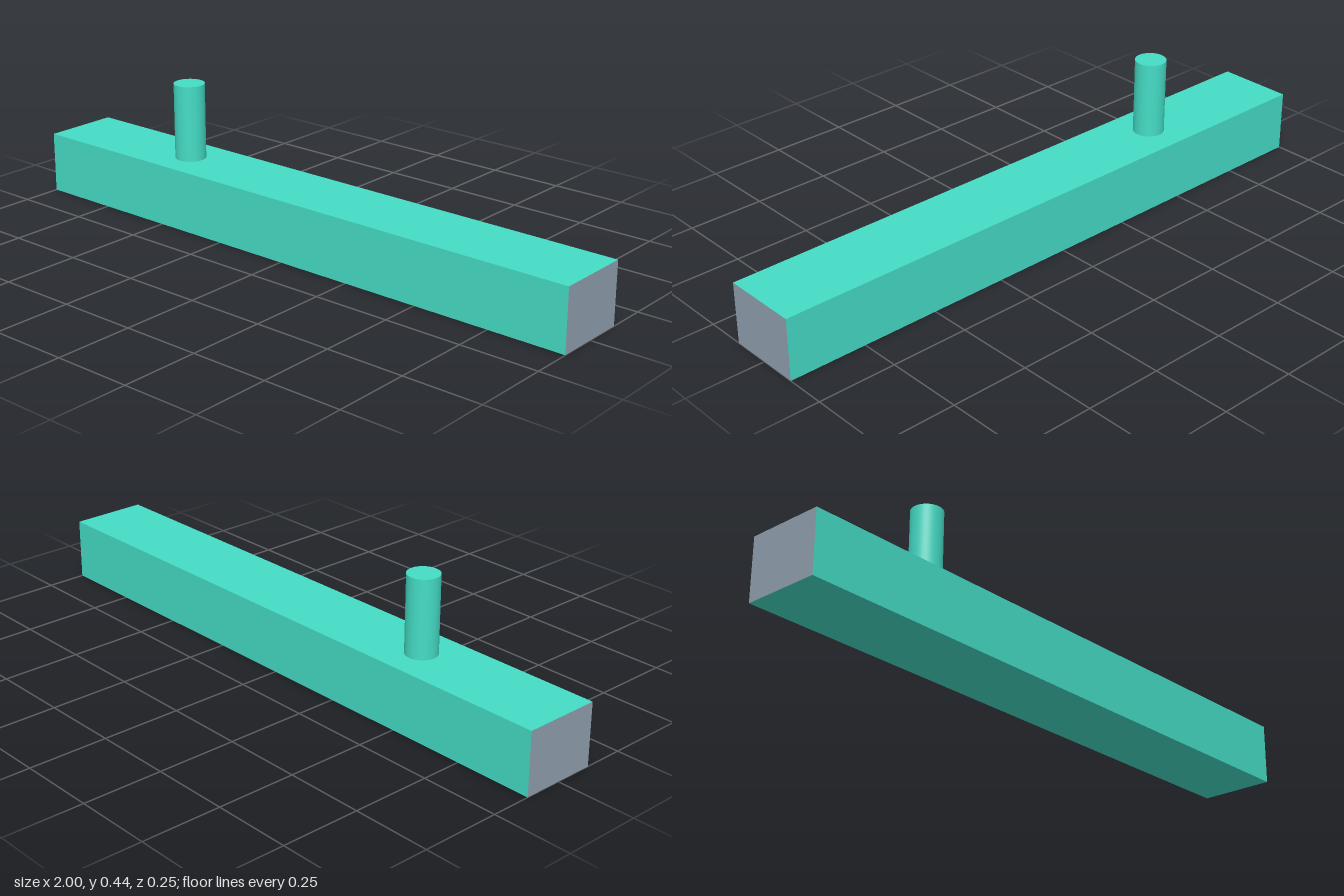
import * as THREE from 'three';

const LENGTH = 2, HEIGHT = 0.196, DEPTH = 0.245;
const PEG_RADIUS = 0.049, PEG_TOP = 0.44, PEG_X = -0.486;

export function createModel() {
  const model = new THREE.Group();
  model.name = 'beamWithPeg';

  const teal = new THREE.MeshStandardMaterial({ color: 0x45dcc6 });
  const slate = new THREE.MeshStandardMaterial({ color: 0x90a0ae });

  // Long beam: slate on the two end faces, teal on the four sides
  const beam = new THREE.Mesh(
    new THREE.BoxGeometry(LENGTH, HEIGHT, DEPTH),
    [slate, slate, teal, teal, teal, teal]
  );
  beam.name = 'beam';
  beam.position.y = HEIGHT / 2;
  model.add(beam);

  // Round peg standing on the beam
  const pegHeight = PEG_TOP - HEIGHT;
  const peg = new THREE.Mesh(
    new THREE.CylinderGeometry(PEG_RADIUS, PEG_RADIUS, pegHeight, 48),
    teal
  );
  peg.name = 'peg';
  peg.position.set(PEG_X, HEIGHT + pegHeight / 2, 0);
  model.add(peg);

  return model;
}
